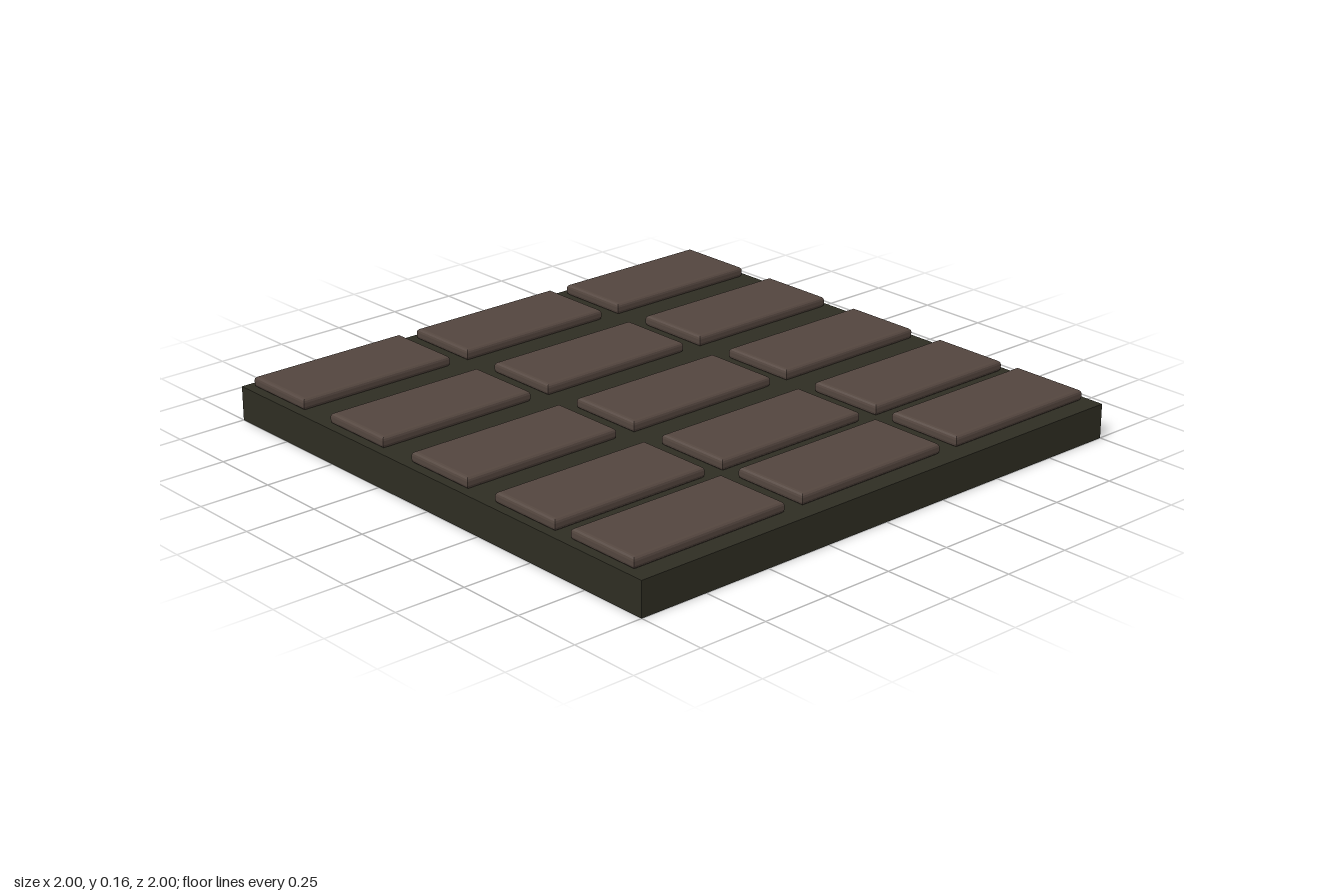
import * as THREE from 'three';

export function createModel() {
  const model = new THREE.Group();
  model.name = 'tiledSlab';

  const baseMaterial = new THREE.MeshStandardMaterial({ color: 0x2f2e23 });
  baseMaterial.name = 'dark olive';
  const tileMaterial = new THREE.MeshStandardMaterial({ color: 0x54463f });
  tileMaterial.name = 'dull brown';

  // Square base slab
  const baseHeight = 0.12;
  const base = new THREE.Mesh(new THREE.BoxGeometry(2, baseHeight, 2), baseMaterial);
  base.name = 'base';
  base.position.y = baseHeight / 2;
  model.add(base);

  // Tile with bevelled edges, square corners in plan
  const width = 0.597, depth = 0.28, height = 0.04, bevel = 0.013;
  const w = width / 2 - bevel, d = depth / 2 - bevel;
  const outline = new THREE.Shape([
    new THREE.Vector2(-w, -d), new THREE.Vector2(w, -d),
    new THREE.Vector2(w, d), new THREE.Vector2(-w, d),
  ]);
  const tileGeometry = new THREE.ExtrudeGeometry(outline, {
    depth: height - 2 * bevel,
    bevelEnabled: true, bevelSize: bevel, bevelThickness: bevel, bevelSegments: 3,
  });
  tileGeometry.rotateX(-Math.PI / 2);
  tileGeometry.translate(0, bevel, 0);

  // Three columns and five unevenly spaced rows
  const tiles = new THREE.Group();
  tiles.name = 'tiles';
  for (const z of [-0.827, -0.4, 0.027, 0.441, 0.794]) {
    for (const x of [-0.672, 0, 0.674]) {
      const tile = new THREE.Mesh(tileGeometry, tileMaterial);
      tile.name = 'tile';
      tile.position.set(x, baseHeight - 0.002, z);
      tiles.add(tile);
    }
  }
  model.add(tiles);
  return model;
}
